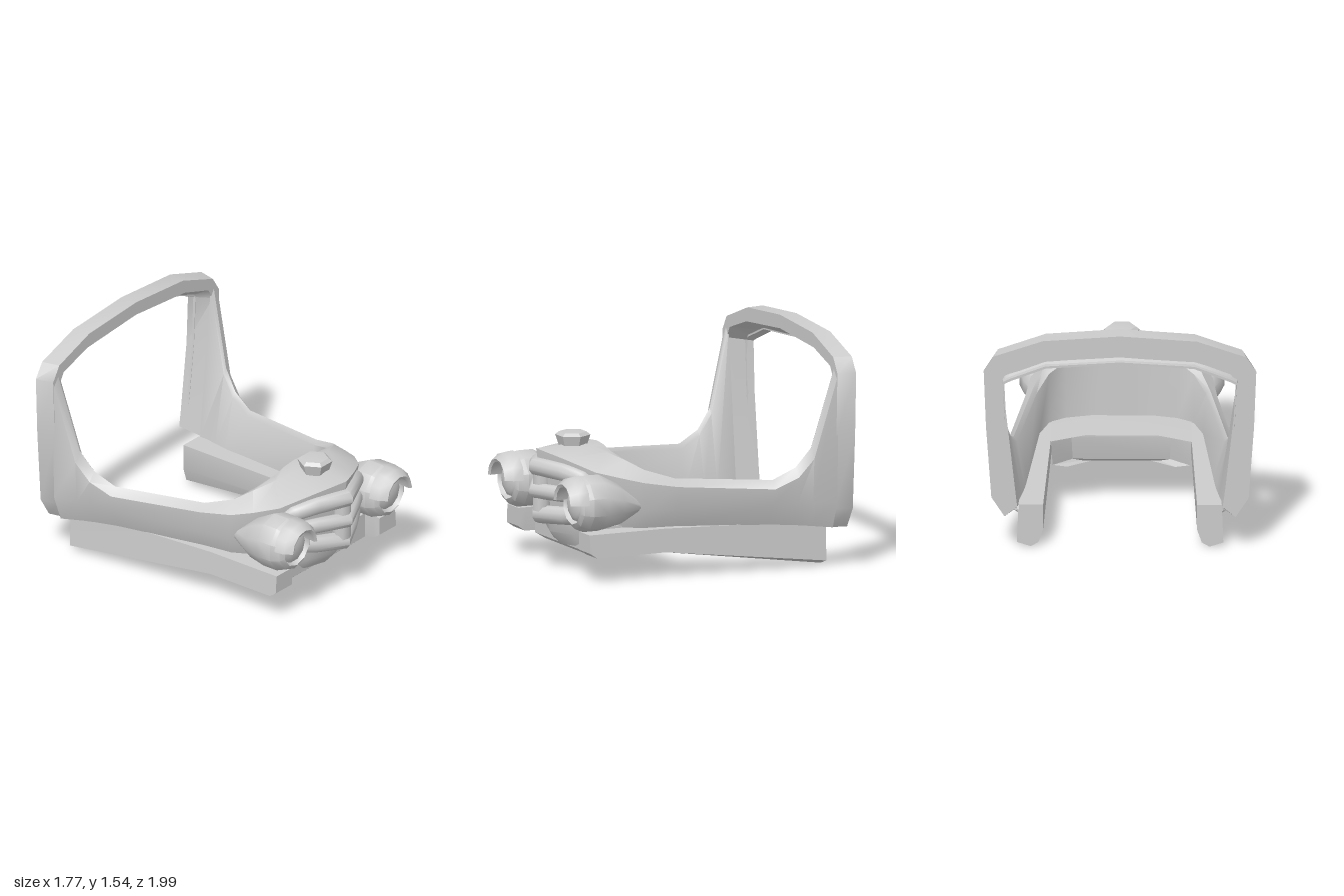
import * as THREE from 'three';
import { toCreasedNormals } from 'three/addons/utils/BufferGeometryUtils.js';

const grey = new THREE.MeshStandardMaterial({ color: 0xcccccc, side: THREE.DoubleSide });

function part(name, geometry, crease = 0.75) {
  const mesh = new THREE.Mesh(toCreasedNormals(geometry, crease), grey);
  mesh.name = name;
  return mesh;
}

// Skin a list of closed cross-sections; faces are turned outward by signed volume.
function loft(rows) {
  const n = rows[0].length, pts = rows.flat(), tris = [];
  for (let i = 0; i < rows.length - 1; i++) {
    for (let j = 0; j < n; j++) {
      const a = i * n + j, b = i * n + (j + 1) % n;
      tris.push([a, b, b + n], [a, b + n, a + n]);
    }
  }
  for (const r of [0, rows.length - 1]) {
    const c = pts.push([0, 1, 2].map(k => rows[r].reduce((s, p) => s + p[k], 0) / n)) - 1;
    for (let j = 0; j < n; j++) {
      const a = r * n + j, b = r * n + (j + 1) % n;
      tris.push(r ? [a, b, c] : [b, a, c]);
    }
  }
  const v = pts.map(p => new THREE.Vector3(...p));
  const volume = tris.reduce((s, [a, b, c]) => s + v[a].dot(v[b].clone().cross(v[c])), 0);
  const g = new THREE.BufferGeometry().setFromPoints(v);
  g.setIndex(tris.flatMap(([a, b, c]) => (volume < 0 ? [a, c, b] : [a, b, c])));
  return g;
}

// Half the rows (ending on the centre line) plus their mirror image.
const mirrorRows = half =>
  [...half, ...half.slice(0, -1).reverse().map(row => row.map(([x, y, z]) => [-x, y, z]))];

// Regular ring of points around (x, y) at depth z.
const ring = (x, y, z, r) => Array.from({ length: 10 }, (_, k) => {
  const a = (k + 0.5) / 10 * Math.PI * 2;
  return [x + r * Math.cos(a), y + r * Math.sin(a), z];
});

// U-shaped shell from the rear pillar to the nose.
// Stations: inner x, z; crest y; outer x, z; shoulder y; bottom y.
function bodyShell() {
  const stations = [
    [0.78, -0.83, 1.36, 0.85, -0.83, 1.3, 0.27],
    [0.73, -0.68, 0.81, 0.8, -0.68, 0.74, 0.285],
    [0.7, -0.58, 0.68, 0.775, -0.58, 0.62, 0.295],
    [0.67, -0.43, 0.605, 0.74, -0.43, 0.55, 0.305],
    [0.55, 0.22, 0.65, 0.625, 0.22, 0.6, 0.33],
    [0.47, 0.39, 0.71, 0.59, 0.45, 0.64, 0.33],
    [0.36, 0.46, 0.765, 0.52, 0.58, 0.67, 0.33],
    [0.2, 0.5, 0.8, 0.41, 0.71, 0.7, 0.33],
    [0.1, 0.5, 0.82, 0.2, 0.84, 0.765, 0.33],
    [0, 0.5, 0.825, 0, 0.94, 0.81, 0.33],
  ];
  return part('bodyShell', loft(mirrorRows(stations.map(([xi, zi, crest, xo, zo, shoulder, bottom]) => {
    const tuck = Math.max(zo, 0) * 0.06, lerp = THREE.MathUtils.lerp;
    return [
      [xi - Math.max(0, (xi - 0.5) * 0.4), bottom + 0.01, zi],
      [xi, crest - 0.05 * xi, zi],
      [lerp(xi, xo, 0.35), crest, lerp(zi, zo, 0.3)],
      [xo, shoulder, zo],
      [xo * 0.98, 0.45, zo - tuck],
      [xo * 0.9, bottom, zo - tuck * 1.7],
    ];
  }))));
}

// Rear arch: outer edge, front inner edge and set-back lining along the path.
function rearArch() {
  const path = [
    [0.75, 0.265, 0.67, 0.3, 0.66, 0.32],
    [0.835, 0.4, 0.69, 0.42, 0.675, 0.42],
    [0.87, 0.9, 0.765, 0.9, 0.735, 0.9],
    [0.885, 1.3, 0.79, 1.26, 0.75, 1.23],
    [0.82, 1.4, 0.745, 1.335, 0.71, 1.25],
    [0.5, 1.51, 0.5, 1.415, 0.48, 1.34],
    [0, 1.545, 0, 1.455, 0, 1.37],
  ];
  return part('rearArch', loft(mirrorRows(path.map(([ox, oy, ix, iy, lx, ly]) => {
    const sx = lx * 1.012, sy = ly + 0.015;
    return [
      [ox * 0.965, oy, -0.82], [ox, oy, -0.94], [sx, sy, -0.94],
      [sx, sy, -0.995], [lx, ly, -0.995], [ix, iy, -0.82],
    ];
  }))), 0.6);
}

// Grille bar swept back from the nose, thinning to rounded ends that bend by `rise`.
function grilleBar(y, tipZ, radius, rise) {
  const half = [0.38, 0.34, 0.2, 0].map((x, i) => {
    const t = x / 0.38, r = radius * [0.45, 0.85, 1, 1][i];
    return ring(0, y + rise * t * t, 0, r).map(([dz, py]) => [x, py, tipZ - 0.2 * t + dz]);
  });
  return part('grilleBar', loft(mirrorRows(half)), 0.9);
}

function headlight(s) {
  const g = new THREE.Group(), cx = s * 0.488, cy = 0.517;
  g.name = s > 0 ? 'leftHeadlight' : 'rightHeadlight';
  // Tail, bulge, rim and recess
  const rim = [[0.73, 0.186], [0.84, 0.186], [0.9, 0.16], [0.92, 0.13], [0.88, 0.115]];
  g.add(part('pod', loft([
    ring(s * 0.53, 0.48, 0.45, 0.03), ring(s * 0.505, 0.5, 0.61, 0.14),
    ...rim.map(([z, r]) => ring(cx, cy, z, r)),
  ]), 0.7));

  const lens = new THREE.SphereGeometry(0.118, 10, 4, 0, Math.PI * 2, 0, Math.PI / 2);
  lens.scale(1, 0.4, 1).rotateX(Math.PI / 2).translate(cx, cy, 0.88);
  g.add(part('lens', lens, 0.9));

  const profile = [[0.172, 0.87], [0.162, 0.94], [0.125, 0.99], [0.105, 0.98], [0.112, 0.89]];
  const lid = new THREE.LatheGeometry(profile.map(p => new THREE.Vector2(...p)), 6, Math.PI / 2, Math.PI);
  lid.rotateX(Math.PI / 2).translate(cx, 0.535, 0);
  g.add(part('eyelid', lid, 0.7));
  return g;
}

// Chassis rail stations: z, inner x, bottom y, top y, keel depth.
function rail(s) {
  const rows = [
    [0.85, 0.45, 0.21, 0.33, 0], [0.8, 0.45, 0.175, 0.33, 0],
    [0.3, 0.45, 0.165, 0.33, 0.01], [-0.83, 0.5, 0.005, 0.3, 0.03],
  ].map(([z, x, low, top, keel]) => [
    [x, top], [x + 0.16, top], [x + 0.17, low + keel],
    [x + 0.08, low], [x + keel, low + keel], [x, low + keel * 4],
  ].map(([px, py]) => [s * px, py, z]));
  return part(s > 0 ? 'leftRail' : 'rightRail', loft(rows), 0.5);
}

// Toe-board pan with a chamfered rear edge.
function floorPan() {
  const outline = (y, w, back, front) => [
    [w, y, front], [w, y, back - 0.1], [w * 0.71, y, back],
    [-w * 0.71, y, back], [-w, y, back - 0.1], [-w, y, front],
  ];
  return part('floorPan', loft([
    outline(0.345, 0.455, 0.18, 0.6), outline(0.33, 0.455, 0.18, 0.73),
    outline(0.16, 0.445, 0.22, 0.73), outline(0.135, 0.35, 0.25, 0.7),
  ]), 0.4);
}

// Bulging apron under the grille; stations: x, upper z, lower z, bottom y.
function lowerValance() {
  const half = [[0.44, 0.62, 0.62, 0.3], [0.36, 0.69, 0.66, 0.23], [0.2, 0.78, 0.72, 0.175], [0, 0.85, 0.76, 0.165]];
  return part('lowerValance', loft(mirrorRows(half.map(([x, zTop, zLow, y]) => [
    [x, 0.36, 0.5], [x, 0.36, zTop], [x, (y + 0.34) / 2, zTop - 0.01], [x, y, zLow], [x, y, 0.5],
  ]))), 0.8);
}

export function createModel() {
  const model = new THREE.Group();
  model.name = 'carFrontBody';
  model.add(bodyShell(), rearArch(), floorPan(), lowerValance());

  // Grille
  const grille = new THREE.Group();
  grille.name = 'grille';
  const post = part('centrePost', new THREE.CylinderGeometry(0.06, 0.06, 0.3, 8), 0.9);
  post.position.set(0, 0.53, 0.9);
  grille.add(
    grilleBar(0.69, 0.935, 0.06, -0.055),
    grilleBar(0.53, 0.94, 0.052, 0),
    grilleBar(0.372, 0.91, 0.06, 0.048),
    post,
  );
  model.add(grille);

  for (const s of [1, -1]) model.add(headlight(s), rail(s));

  // Hexagonal radiator cap
  const profile = [[0.085, 0.79], [0.115, 0.88], [0.09, 0.9], [0, 0.908]];
  const cap = part('radiatorCap', new THREE.LatheGeometry(profile.map(p => new THREE.Vector2(...p)), 6), 0.5);
  cap.rotation.y = Math.PI / 6;
  cap.position.z = 0.675;
  model.add(cap);
  return model;
}
